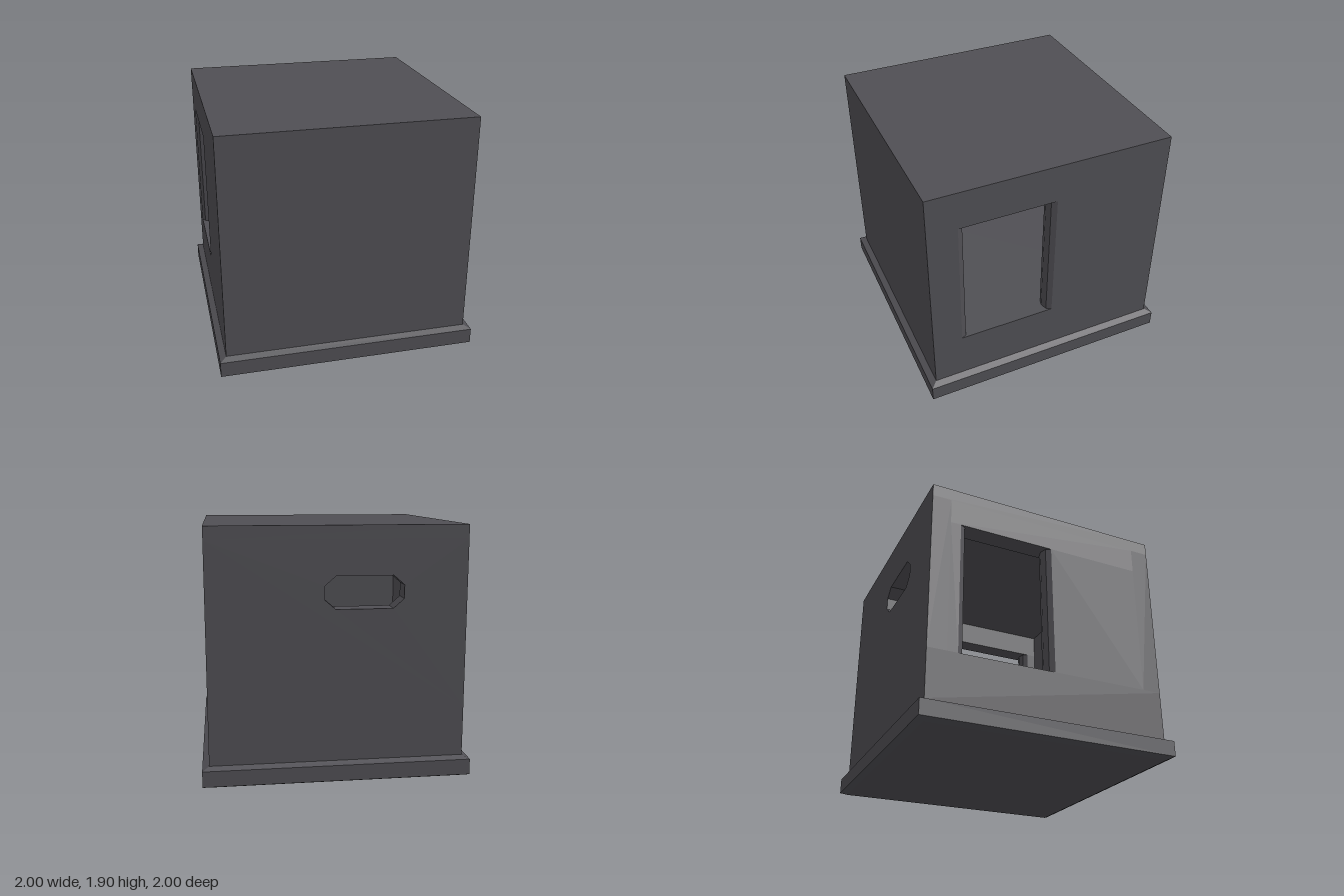
import * as THREE from 'three';

const H = 0.95;        // half width of the body
const T = 0.15;        // wall thickness
const FLOOR = 0.54, HEAD = 1.6, CEILING = 1.8, TOP = 1.9, PLINTH = 0.164;

export function createModel() {
  const model = new THREE.Group();
  model.name = 'hollowBlockHouse';
  const stone = new THREE.MeshStandardMaterial({ color: 0x504f54 });
  stone.name = 'dark grey';

  const add = (parent, name, geometry, x = 0, y = 0, z = 0) => {
    const mesh = new THREE.Mesh(geometry, stone);
    mesh.name = name;
    mesh.position.set(x, y, z);
    parent.add(mesh);
    return mesh;
  };
  const rect = (x0, y0, x1, y1) => new THREE.Shape([
    new THREE.Vector2(x0, y0), new THREE.Vector2(x1, y0),
    new THREE.Vector2(x1, y1), new THREE.Vector2(x0, y1)]);
  // Plan shape (x, z) raised from y0 to y1
  const raise = (shape, y0, y1) => new THREE.ExtrudeGeometry(shape, { depth: y1 - y0, bevelEnabled: false })
    .rotateX(-Math.PI / 2).translate(0, y0, 0);

  // Plinth with chamfered upper and lower edges
  const bevel = 0.022;
  const plinth = new THREE.ExtrudeGeometry(rect(-H, -H, H, H), {
    depth: PLINTH - 2 * bevel, bevelEnabled: true, bevelSize: 0.05, bevelThickness: bevel, bevelSegments: 1,
  });
  add(model, 'plinth', plinth.rotateX(-Math.PI / 2), 0, bevel, 0);

  // Solid lower body, whose top is the room floor
  add(model, 'lowerBody', new THREE.BoxGeometry(2 * H, FLOOR - PLINTH, 2 * H), 0, (FLOOR + PLINTH) / 2, 0);

  // Roof slab
  add(model, 'roof', new THREE.BoxGeometry(2 * H, TOP - CEILING, 2 * H), 0, (TOP + CEILING) / 2, 0);

  // Front wall
  const wallHeight = CEILING - FLOOR;
  add(model, 'frontWall', new THREE.BoxGeometry(2 * H, wallHeight, T), 0, (FLOOR + CEILING) / 2, H - T / 2);

  // Back wall with a chamfered slot
  const back = rect(-H, FLOOR, H, CEILING);
  const cx = -0.19, cy = 1.42, hw = 0.29, hh = 0.12, cut = 0.08;
  const corners = [[hw, hh - 0.07], [hw - cut, hh], [cut - hw, hh], [-hw, hh - 0.07],
    [-hw, 0.07 - hh], [cut - hw, -hh], [hw - cut, -hh], [hw, 0.07 - hh]];
  back.holes.push(new THREE.Path(corners.map(([x, y]) => new THREE.Vector2(cx + x, cy + y))));
  add(model, 'backWall', new THREE.ExtrudeGeometry(back, { depth: T, bevelEnabled: false }), 0, 0, -H);

  // Wall pier ending in a faceted half-round jamb at the opening
  const pier = (zEdge, zWall) => {
    const dir = Math.sign(zEdge - zWall);
    const points = [new THREE.Vector2(H, -zWall)];
    for (let k = 0; k <= 4; k++) {
      const a = (Math.PI * k) / 4;
      points.push(new THREE.Vector2(H - T / 2 + (T / 2) * Math.cos(a), -(zEdge + dir * 0.055 * Math.sin(a))));
    }
    points.push(new THREE.Vector2(H - T, -zWall));
    return raise(new THREE.Shape(points), FLOOR, HEAD);
  };

  // Two side walls with doorways, each the half-turn of the other
  for (const [name, turn] of [['leftWall', 0], ['rightWall', Math.PI]]) {
    const wall = new THREE.Group();
    wall.name = name;
    wall.rotation.y = turn;
    add(wall, 'narrowPier', pier(0.72, H - T));
    add(wall, 'widePier', pier(-0.04, T - H));
    add(wall, 'lintel', new THREE.BoxGeometry(T, CEILING - HEAD, 2 * (H - T)), H - T / 2, (CEILING + HEAD) / 2, 0);
    model.add(wall);
  }
  return model;
}
